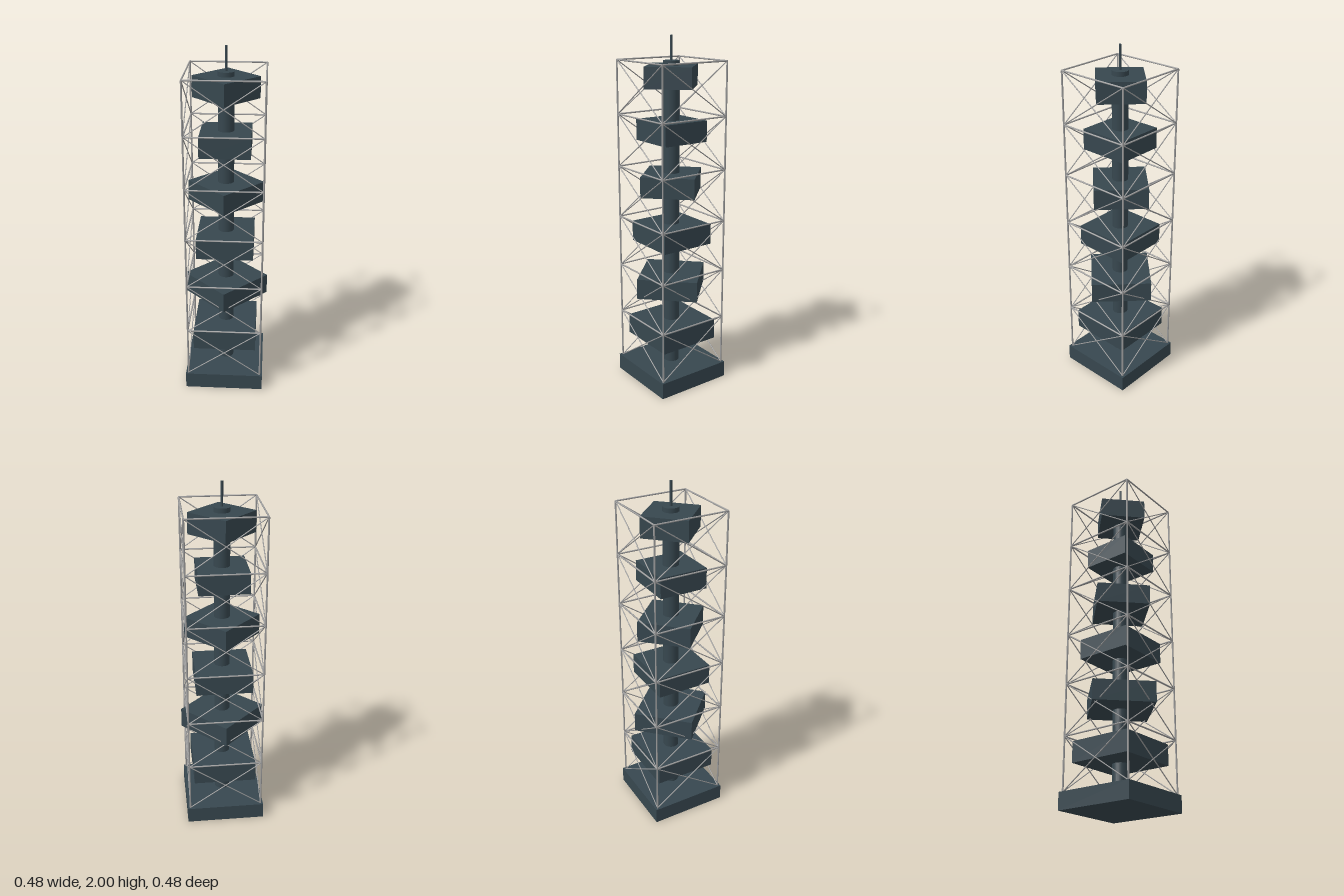
import * as THREE from 'three';

const slate = new THREE.MeshStandardMaterial({ color: 0x37474f });
slate.name = 'slate';
const steel = new THREE.MeshStandardMaterial({ color: 0x9e9e9e });
steel.name = 'steel';

const BASE = 0.095, STEP = 0.2955, LEVELS = 6, HALF = 0.212;
const TOP = BASE + STEP * LEVELS;

export function createModel() {
  const model = new THREE.Group();

  function add(parent, name, geometry, material, x = 0, y = 0, z = 0) {
    const mesh = new THREE.Mesh(geometry, material);
    mesh.name = name;
    mesh.position.set(x, y, z);
    parent.add(mesh);
    return mesh;
  }

  // Round bar between two points
  function bar(parent, name, a, b, radius) {
    const dir = b.clone().sub(a);
    const mesh = add(parent, name, new THREE.CylinderGeometry(radius, radius, dir.length(), 8), steel);
    mesh.position.copy(a).add(b).multiplyScalar(0.5);
    mesh.quaternion.setFromUnitVectors(new THREE.Vector3(0, 1, 0), dir.normalize());
  }

  // Plinth, central core and mast
  add(model, 'base', new THREE.BoxGeometry(0.454, BASE, 0.454), slate, 0, BASE / 2);
  add(model, 'core', new THREE.CylinderGeometry(0.0446, 0.0446, TOP - BASE, 32), slate, 0, (TOP + BASE) / 2);
  add(model, 'mast', new THREE.CylinderGeometry(0.007, 0.007, 2 - TOP, 12), slate, 0, (2 + TOP) / 2);

  // Shrinking blocks, every other one turned by an eighth
  for (let i = 0; i < LEVELS; i++) {
    const size = 2 * (0.1815 - 0.0106 * i);
    const block = add(model, 'block', new THREE.BoxGeometry(size, 0.117, size), slate, 0, 0.307 + STEP * i);
    block.rotation.y = (i % 2) * Math.PI / 4;
  }

  // One lattice side, repeated around the tower
  for (let s = 0; s < 4; s++) {
    const side = new THREE.Group();
    side.name = 'latticeSide';
    side.rotation.y = s * Math.PI / 2;
    model.add(side);
    const point = (x, y) => new THREE.Vector3(x * HALF, y, HALF);
    bar(side, 'post', point(-1, BASE), point(-1, TOP), 0.005);
    for (let i = 0; i < LEVELS; i++) {
      const low = BASE + STEP * i, high = low + STEP;
      bar(side, 'rail', point(-1, high), point(1, high), 0.0045);
      bar(side, 'brace', point(-1, low), point(1, high), 0.003);
      bar(side, 'brace', point(1, low), point(-1, high), 0.003);
    }
  }
  return model;
}
